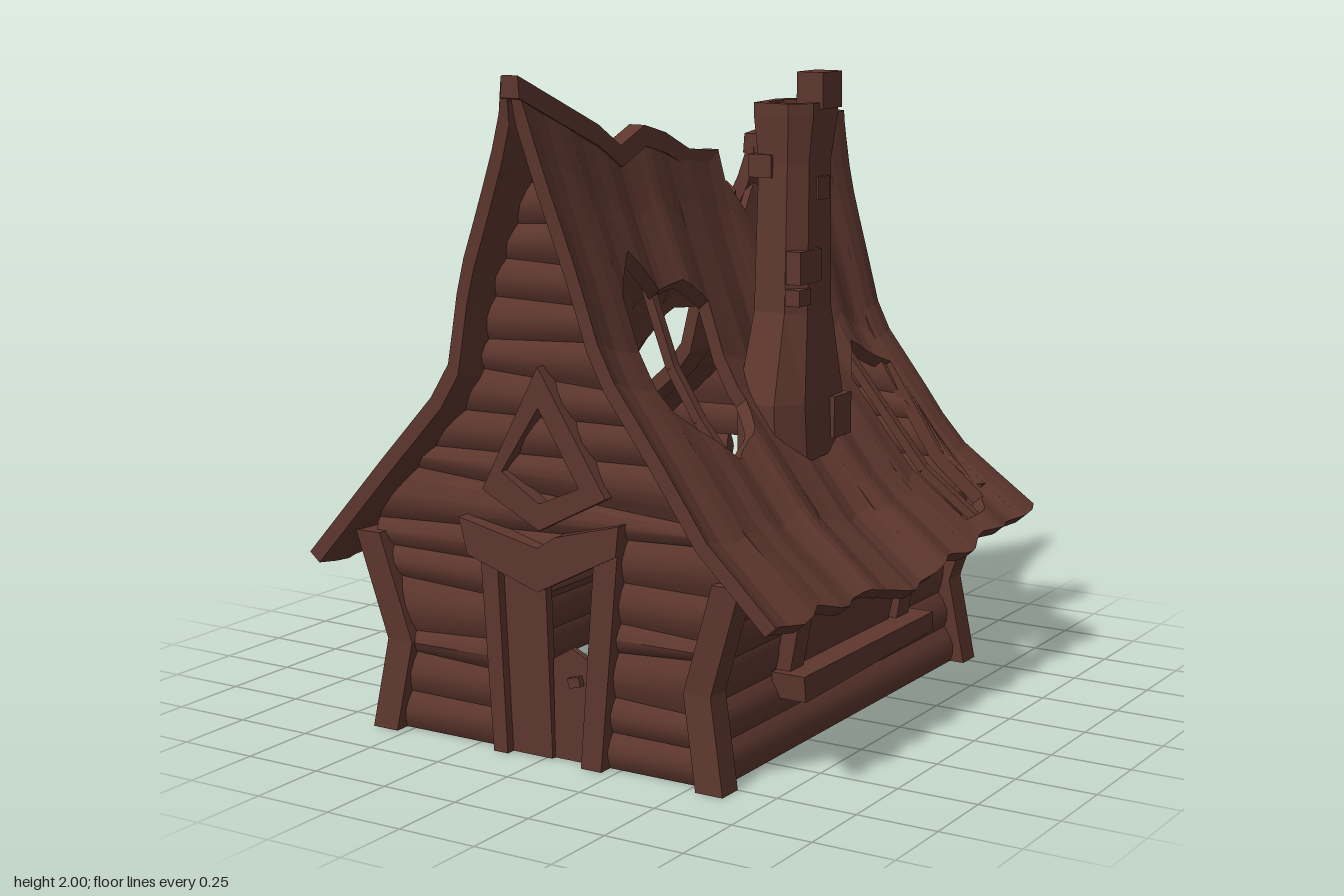
import * as THREE from 'three';
import { mergeGeometries, toCreasedNormals } from 'three/addons/utils/BufferGeometryUtils.js';

const V = (x, y, z) => new THREE.Vector3(x, y, z);

// piecewise-linear lookup in a table of [key, value]
function at(table, k) {
  if (k <= table[0][0]) return table[0][1];
  for (let i = 1; i < table.length; i++) {
    const [a, va] = table[i - 1], [b, vb] = table[i];
    if (k <= b) return va + (vb - va) * (k - a) / (b - a);
  }
  return table[table.length - 1][1];
}

// closed faceted solid through a list of rings, always wound outwards
function loft(rings) {
  const tris = [], n = rings[0].length, last = rings[rings.length - 1];
  for (let i = 0; i + 1 < rings.length; i++) for (let j = 0; j < n; j++) {
    const k = (j + 1) % n, a = rings[i][j], b = rings[i][k], c = rings[i + 1][k], d = rings[i + 1][j];
    tris.push([a, b, c], [a, c, d]);
  }
  for (let k = 1; k + 1 < n; k++) {
    tris.push([rings[0][0], rings[0][k + 1], rings[0][k]], [last[0], last[k], last[k + 1]]);
  }
  const o = rings[0][0], volume = tris.reduce((s, [a, b, c]) =>
    s + a.clone().sub(o).dot(b.clone().sub(o).cross(c.clone().sub(o))), 0);
  const points = tris.flatMap(([a, b, c]) => volume < 0 ? [a, c, b] : [a, b, c]);
  const g = new THREE.BufferGeometry().setFromPoints(points);
  g.computeVertexNormals();
  return g;
}

const slab = (pts, offset) => loft([pts, pts.map(p => p.clone().add(offset))]);

// square bar between two points
function bar(a, b, w, d = w) {
  const dir = b.clone().sub(a), g = new THREE.BoxGeometry(w, dir.length(), d).toNonIndexed();
  g.deleteAttribute('uv');
  g.applyQuaternion(new THREE.Quaternion().setFromUnitVectors(V(0, 1, 0), dir.normalize()));
  return g.translate((a.x + b.x) / 2, (a.y + b.y) / 2, (a.z + b.z) / 2);
}

// ---- roof form: u runs along the ridge, y is height ----
const ridge = [[-.87, 1.78], [-.68, 1.76], [-.55, 1.77], [-.45, 1.75], [-.36, 1.74], [-.1, 1.71], [.05, 1.73],
  [.18, 1.79], [.29, 1.82], [.41, 1.77], [.52, 1.84], [.87, 2]];
const eave = [[-.87, .53], [-.7, .51], [-.5, .52], [-.35, .48], [-.2, .5], [-.1, .46], [0, .44], [.15, .47],
  [.3, .51], [.45, .49], [.6, .53], [.72, .5], [.87, .53]];
const eaveY = (side, u) => side > 0 ? at(eave, u) : .52 + .3 * (at(eave, u) - .5);
const broken = [[-.36, 1.53], [-.28, 1.6], [-.19, 1.52], [-.12, 1.62]];
const profile = {
  1: [[0, .8], [.145, .575], [.3, .42], [.46, .25], [.62, .18], [.82, .085], [1, .02]],
  [-1]: [[0, .81], [.21, .535], [.4, .28], [.61, .22], [.91, .045], [1, .02]],
};
const holes = {
  1: [
    { lo: [[.17, 1], [.4, .87], [.63, 1.04], [.655, 1.1]], hi: [[.17, 1.29], [.3, 1.37], [.41, 1.35], [.53, 1.48], [.655, 1.36]] },
    { lo: [[-.74, .97], [-.69, .58], [-.47, .55]], hi: [[-.74, .98], [-.57, 1.07], [-.47, .97]] },
  ],
  [-1]: [{ lo: [[-.38, .89], [.05, .92]], hi: [[-.38, 1.2], [-.2, 1.22], [.05, 1.1]] }],
};

function roofPoint(side, u, y, inner = false) {
  const e = eaveY(side, u), f = (y - e) / (at(ridge, u) - e), fade = Math.min(1, 1.2 - f);
  let x = at(profile[side], f) + .014 * Math.sin(30 * u) * fade;
  // the right slope narrows amidships, the left one towards the back
  if (side < 0) x -= .03 * (1 - Math.abs(u) / .87) * (1 - f);
  else x -= .06 * Math.max(-u, 0) * Math.min(1, 5 * f) * (1 - f);
  if (inner) { x = Math.max(x - .035, .002); y -= .03; }
  return V(side * Math.max(x, .005), y, u * (1 + .1 * Math.max(f, 0) ** 3));
}

function roofSlope(side) {
  const us = [];
  for (let i = 0; i <= 32; i++) us.push(-.87 + i * 1.74 / 32);
  for (const h of holes[side]) for (const [u] of [...h.lo, ...h.hi]) us.push(u);
  for (const [u] of broken) us.push(u);
  us.sort((a, b) => a - b);
  const parts = [];
  for (let i = 0; i + 1 < us.length; i++) {
    const a = us[i], b = us[i + 1], mid = (a + b) / 2;
    if (b - a < .0001) continue;
    const gone = mid > -.36 && mid < -.12;
    const top = u => at(gone ? broken : ridge, u), foot = u => eaveY(side, u);
    const hole = holes[side].find(h => mid > h.lo[0][0] && mid < h.lo[h.lo.length - 1][0]);
    const spans = hole
      ? [[foot, u => at(hole.lo, u)], [u => at(hole.hi, u), top]]
      : [[foot, top]];
    for (const [lo, hi] of spans) {
      const rings = [], n = hole ? 8 : 14;
      for (let r = 0; r <= n; r++) {
        const ya = lo(a) + (hi(a) - lo(a)) * r / n, yb = lo(b) + (hi(b) - lo(b)) * r / n;
        rings.push([roofPoint(side, a, ya), roofPoint(side, b, yb),
          roofPoint(side, b, yb, true), roofPoint(side, a, ya, true)]);
      }
      parts.push(loft(rings));
    }
  }
  return mergeGeometries(parts);
}

function ridgeCap(u0, u1) {
  const us = [u0, ...ridge.map(r => r[0]).filter(u => u > u0 && u < u1), u1];
  return loft(us.map(u => {
    const y = at(ridge, u), z = u * 1.1, c = .015 * Math.sin(3 * u);
    return [V(c - .032, y - .06, z), V(c + .032, y - .06, z), V(c + .027, y + .003, z), V(c - .027, y + .003, z)];
  }));
}

// ---- walls ----
const wallX = y => at([[0, .57], [.28, .52], [.6, .62], [.75, .66]], y);

// rounded plank section: [height 0..1, outward offset], up the outside and down the inside
const plankSection = [0, .2, .5, .8, 1].map(t => [t, .006 + .022 * Math.sin(Math.PI * t)]);
plankSection.push(...[1, .75, .25, 0].map(t => [t, -.006 - .018 * Math.sin(Math.PI * t)]));
const planks = parts => toCreasedNormals(mergeGeometries(parts), .7);

// boarded gable wall; gaps[row] = [x0, x1] left open
function endWall(front, z, rows, top, gaps) {
  const parts = [], edge = (s, y) =>
    s * Math.max(.012, Math.min(wallX(y), Math.abs(roofPoint(s, front * .77, y).x) - .035));
  const seam = i => top * i / rows;
  const tilt = i => i === 0 ? 0 : .06 * Math.sin(i * 2.3 + front);
  for (let i = 0; i < rows; i++) {
    const end = (xb, xt) => {
      const yb = seam(i) + tilt(i) * xb, yt = seam(i + 1) + tilt(i + 1) * xt;
      return plankSection.map(([t, o]) => V(xb + (xt - xb) * t, yb + (yt - yb) * t, front * (z + o)));
    };
    const left = end(edge(-1, seam(i)), edge(-1, seam(i + 1)));
    const right = end(edge(1, seam(i)), edge(1, seam(i + 1)));
    const g = gaps[i];
    if (g) parts.push(loft([left, end(g[0], g[0])]), loft([end(g[1], g[1]), right]));
    else parts.push(loft([left, right]));
  }
  return planks(parts);
}

function sideWall(s) {
  const parts = [];
  for (let i = 0; i < 5; i++) {
    parts.push(loft([-.75, .78].map(z => plankSection.map(([t, o]) => {
      const y = (i + t) * .116;
      return V(s * (wallX(y) - .005 + o), y, z);
    }))));
  }
  return planks(parts);
}

function cornerPost(sx, z) {
  return loft([0, .28, .61].map(y => [[-1, -1], [1, -1], [1, 1], [-1, 1]].map(([i, j]) =>
    V(sx * (wallX(y) + .005) + i * .045, y, z * (y === .28 ? .98 : 1) + j * .042))));
}

// flat board cut from an outline, optionally pierced
function board(outline, z, depth, hole) {
  const toVec = l => l.map(([x, y]) => new THREE.Vector2(x, y));
  const shape = new THREE.Shape(toVec(outline));
  if (hole) shape.holes.push(new THREE.Path(toVec(hole)));
  return new THREE.ExtrudeGeometry(shape, { depth, bevelEnabled: false }).translate(0, 0, z);
}

function chimneyStack() {
  // y, centre x, centre z, half width, half depth
  const rings = [[.8, .335, -.05, .115, .19], [.98, .335, -.04, .11, .185], [1.25, .33, -.06, .09, .12],
    [1.7, .325, -.075, .085, .11], [1.84, .325, -.08, .1, .125], [1.88, .325, -.08, .1, .125],
    [1.88, .325, -.08, .065, .085], [1.72, .325, -.08, .06, .08]];
  return loft(rings.map(([y, cx, cz, rx, rz]) =>
    [[1, .55], [.45, 1], [-.8, .9], [-1, -.5], [-.4, -1], [.85, -.9]].map(([i, j]) => V(cx + i * rx, y, cz + j * rz))));
}

export function createModel() {
  const model = new THREE.Group();
  const wood = new THREE.MeshStandardMaterial({ color: 0x5e372e });
  wood.name = 'darkBrown';
  const add = (name, geometry) => {
    const mesh = new THREE.Mesh(geometry, wood);
    mesh.name = name;
    model.add(mesh);
  };

  // roof with its broken ridge
  add('roofSlopeRight', roofSlope(-1));
  add('roofSlopeLeft', roofSlope(1));
  add('ridgeCapFront', ridgeCap(-.12, .87));
  add('ridgeCapBack', ridgeCap(-.87, -.36));

  // glazing bars in the roof openings
  const mullion = (u, ys) => mergeGeometries(ys.slice(1).map((y, i) =>
    bar(roofPoint(1, u, ys[i], true), roofPoint(1, u, y, true), .03)));
  add('roofWindowBarFront', mullion(.395, [.86, 1, 1.15, 1.38]));
  add('roofWindowBarBack', mullion(-.58, [.55, .7, .88, 1.08]));
  add('dormerBar', bar(V(-.42, .98, -.28), V(-.2, 1.25, -.22), .025));

  // tent-shaped dormer with ragged edges
  const crest = [V(-.68, 1.45, -.04), V(-.46, 1.39, -.04), V(-.15, 1.39, -.04)];
  add('dormerFrontSlope', slab([...crest, V(-.27, 1.22, .1), V(-.3, 1, .23), V(-.45, .92, .23), V(-.53, .8, .28)],
    V(0, -.02, -.025)));
  add('dormerBackSlope', slab([...crest, V(-.24, 1.22, -.13), V(-.35, 1.17, -.17), V(-.5, 1.18, -.155),
    V(-.47, .84, -.35), V(-.53, .8, -.37)], V(0, -.02, .025)));

  // walls and corner posts
  const door = [-.15, .19];
  add('frontWall', endWall(1, .775, 16, 1.8, { 0: door, 1: door, 2: door, 3: door, 4: door, 5: [.07, .19] }));
  add('backWall', endWall(-1, .745, 15, 1.68, { 1: [.17, .43], 4: [-.3, .17], 5: [-.3, .17] }));
  for (const s of [1, -1]) {
    const side = s > 0 ? 'Left' : 'Right';
    add('sideWall' + side, sideWall(s));
    add('frontPost' + side, cornerPost(s, .79));
    add('backPost' + side, cornerPost(s, -.755));
  }

  // doorway with a broken door
  add('doorJambRight', board([[-.12, 0], [-.17, 0], [-.21, .6], [-.15, .6]], .77, .06));
  add('doorJambLeft', board([[.14, 0], [.21, 0], [.27, .66], [.19, .64]], .77, .06));
  add('door', board([[-.13, 0], [.02, 0], [.0, .55], [-.17, .58]], .77, .03));
  add('doorBrokenPanel', board([[.02, 0], [.15, 0], [.17, .3], [.08, .34], [.015, .3]], .765, .02));
  add('doorLintel', board([[-.28, .7], [-.25, .59], [0, .51], [.27, .65], [.28, .74], [.06, .68], [0, .64]], .78, .06));
  add('doorLatch', bar(V(.08, .24, .79), V(.12, .25, .79), .03));

  // gable window frame
  add('gableWindowFrame', board([[0, 1.17], [-.2, .79], [0, .69], [.23, .81]], .78, .05,
    [[0, 1.05], [-.13, .85], [0, .77], [.14, .83]]));

  // shuttered side window with its sill
  add('sideShutter', slab([V(.545, .24, .31), V(.595, .46, .31), V(.595, .46, -.27), V(.545, .24, -.27)], V(.02, 0, 0)));
  for (const z of [.35, -.33]) add('sideWindowFrame', bar(V(.555, .22, z), V(.605, .49, z), .05, .08));
  add('sideWindowSill', slab([V(.54, .17, .41), V(.54, .25, .42), V(.54, .25, -.42), V(.54, .19, -.42)], V(.11, 0, 0)));

  // chimney with loose bricks
  add('chimney', chimneyStack());
  add('chimneyBlock', bar(V(.385, 1.86, -.12), V(.385, 1.97, -.12), .09, .12));
  const bricks = [[.27, 1.69, .0, .08, .07, .08], [.4, 1.39, -.005, .05, .1, .13], [.4, 1.3, .03, .05, .05, .07],
    [.39, 1.62, -.1, .05, .07, .07], [.4, .91, -.17, .1, .13, .11]];
  for (const [x, y, z, w, h, d] of bricks) add('chimneyBrick', bar(V(x, y - h / 2, z), V(x, y + h / 2, z), w, d));

  return model;
}
